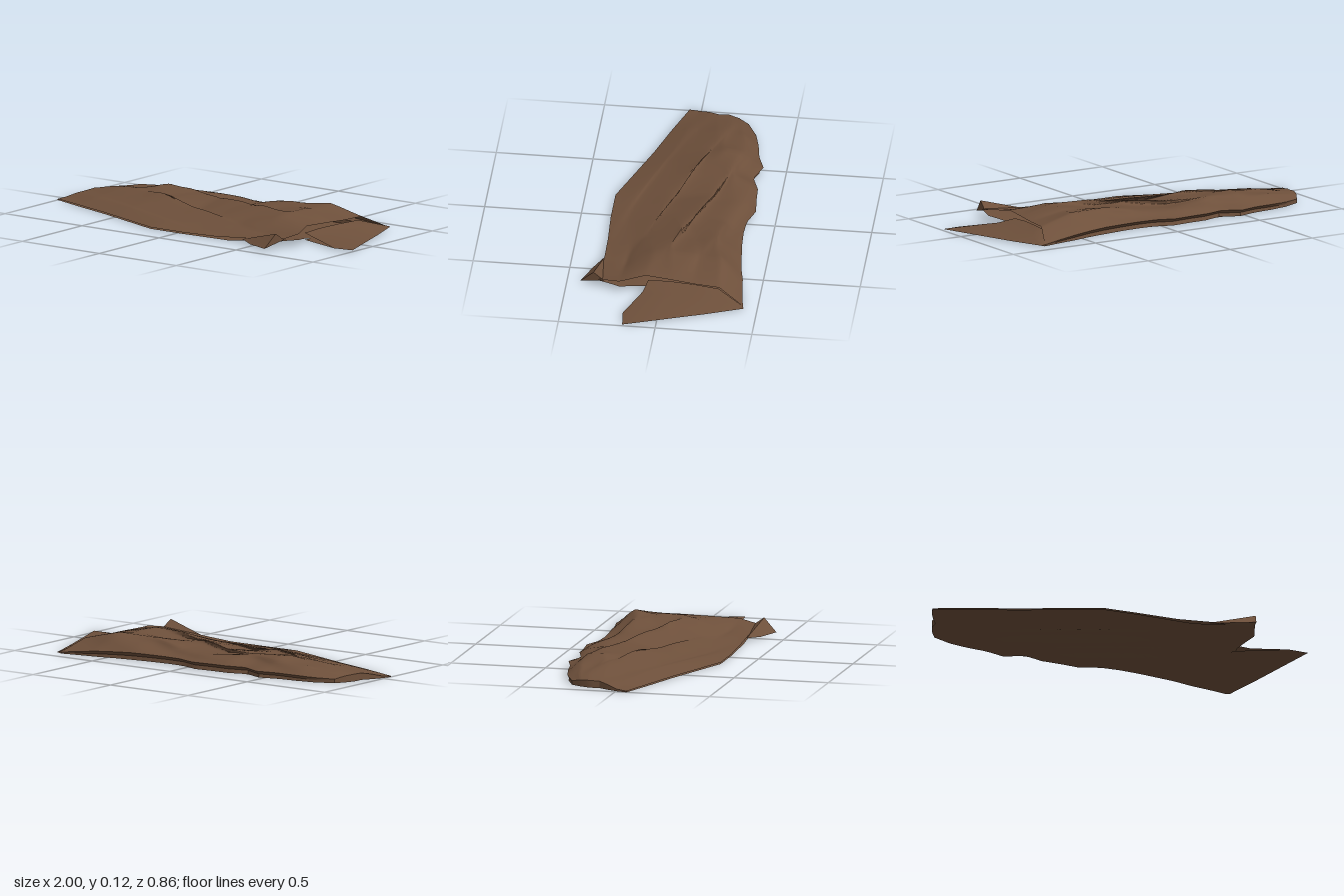
import * as THREE from 'three';
import { toCreasedNormals } from 'three/addons/utils/BufferGeometryUtils.js';

// Sheet from rows of points: point(i, j) gives [x, y, z]
function sheet(cols, rows, point, crease) {
  const pos = [], index = [];
  for (let i = 0; i <= cols; i++) for (let j = 0; j <= rows; j++) pos.push(...point(i, j));
  for (let i = 0; i < cols; i++) for (let j = 0; j < rows; j++) {
    const a = i * (rows + 1) + j, b = a + rows + 1;
    index.push(a, b, b + 1, a, b + 1, a + 1);
  }
  const g = new THREE.BufferGeometry();
  g.setAttribute('position', new THREE.Float32BufferAttribute(pos, 3));
  g.setIndex(index);
  return toCreasedNormals(g, crease);
}

// Linear lookup in an evenly spaced list, t from 0 to 1
function look(list, t) {
  const k = t * (list.length - 1), i = Math.min(Math.floor(k), list.length - 2);
  return list[i] + (list[i + 1] - list[i]) * (k - i);
}

// Outline of the cloth: side ends run front to back, long edges run left to right
const endLow = [-1, -0.985, -0.96, -0.93, -0.93, -0.91, -0.88];
const endHigh = [0.65, 0.69, 0.64, 0.66, 0.68, 0.70, 0.76];
const frontZ = [0.06, 0.13, 0.195, 0.27, 0.345, 0.345, 0.335, 0.33, 0.35];
const backZ = [-0.26, -0.31, -0.335, -0.35, -0.385, -0.345, -0.38, -0.385, -0.395,
  -0.36, -0.355, -0.36, -0.37, -0.38, -0.40, -0.41, -0.425];

// Crumple heights, one line per station along the length, front to back
const heights = [
  [0.010, 0.015, 0.030, 0.040, 0.042, 0.038, 0.025],
  [0.012, 0.035, 0.050, 0.068, 0.072, 0.075, 0.035],
  [0.012, 0.040, 0.062, 0.078, 0.106, 0.075, 0.040],
  [0.012, 0.038, 0.060, 0.100, 0.080, 0.098, 0.045],
  [0.012, 0.033, 0.055, 0.066, 0.080, 0.074, 0.045],
  [0.012, 0.030, 0.058, 0.080, 0.104, 0.074, 0.045],
  [0.015, 0.033, 0.066, 0.110, 0.092, 0.116, 0.045],
  [0.030, 0.038, 0.096, 0.122, 0.108, 0.124, 0.035],
  [0.045, 0.066, 0.080, 0.078, 0.074, 0.076, 0.012],
];

function outline(u, v) {
  const a = look(endLow, v), b = look(endHigh, v);
  const f = look(frontZ, u), k = look(backZ, u);
  return [a + (b - a) * u, f + (k - f) * v];
}

// Point of the upper layer, with diagonal folds overhanging to the back
function topPoint(u, v) {
  const [x, z] = outline(u, v);
  const y = look(heights.map((h) => look(h, v)), u);
  const p = (z - 0.35 * x - 0.12) * 31.4 + Math.PI / 2;
  const fold = Math.sin(p + 0.4 * Math.sin(3 * x)) * Math.sin(Math.PI * v) * Math.sin(Math.PI * u);
  return [x, y + 0.013 * fold, z - 0.045 * fold];
}

// Point of the lower layer, drawn in under the back edge and lifted at the front corner
function lowPoint(u, v) {
  const [x, z] = outline(u, v);
  const env = Math.sin(Math.PI * v) * Math.sin(Math.PI * u);
  const ripple = 1 + Math.sin((z - 0.35 * x) * 28);
  const lift = 0.037 * Math.max(0, (u - 0.8) / 0.2) * Math.max(0, 1 - (v / 0.4) ** 2);
  return [x, 0.004 + 0.011 * ripple * env + lift, z + 0.03 * v ** 4 * Math.sin(Math.PI * u)];
}

export function createModel() {
  const group = new THREE.Group();
  const brown = new THREE.MeshStandardMaterial({ color: 0x6e503b, side: THREE.DoubleSide });
  brown.name = 'brown cloth';
  const add = (name, geometry) => {
    const mesh = new THREE.Mesh(geometry, brown);
    mesh.name = name;
    group.add(mesh);
  };

  // Two layers of cloth
  add('crumpledTop', sheet(56, 56, (i, j) => topPoint(i / 56, j / 56), 0.9));
  add('underside', sheet(40, 24, (i, j) => lowPoint(i / 40, j / 24), 1));

  // Folded back edge joining the layers
  add('backFold', sheet(32, 2, (i, j) => {
    const u = i / 32, a = topPoint(u, 1), b = lowPoint(u, 1);
    const tuck = j === 1 ? 0.02 * Math.sin(Math.PI * u) : 0;
    return a.map((c, k) => c + (b[k] - c) * j / 2 + (k === 2 ? tuck : 0));
  }, 0.5));

  // Folded left end joining the layers
  add('endFold', sheet(1, 12, (i, j) => (i ? topPoint : lowPoint)(0, j / 12), 0.5));

  // Flat flap spreading out from beneath the raised end
  const flap = [
    [[0.62, 0.040, 0.08], [0.63, 0.048, -0.03], [0.65, 0.052, -0.16], [0.68, 0.055, -0.29], [0.76, 0.012, -0.425]],
    [[0.71, 0.024, 0.10], [0.73, 0.030, -0.02], [0.74, 0.032, -0.16], [0.755, 0.034, -0.30], [0.77, 0.012, -0.428]],
    [[0.89, 0.010, 0.18], [1.00, 0.012, 0.17], [0.93, 0.010, -0.02], [0.85, 0.008, -0.24], [0.78, 0.010, -0.43]],
  ];
  add('endFlap', sheet(2, 4, (i, j) => flap[i][j], 0.8));

  // Floor side of the flap
  const under = [flap[2], flap[0].map(([x, , z]) => [x, 0.004, z])];
  add('flapUnderside', sheet(1, 4, (i, j) => under[i][j], 0.6));

  // Raised corner: crest, outer face and floor side
  const left = [0.41, 0.022, 0.33], crest = [0.65, 0.085, 0.36];
  const tip = [0.63, 0.015, 0.43], mid = [0.50, 0.014, 0.38], pinch = [0.66, 0.046, 0.305];
  const corner = [[left, crest, pinch], [mid, tip, tip]];
  add('raisedCorner', sheet(1, 2, (i, j) => corner[i][j], 0.4));
  const inner = [[left, crest], [left, pinch]];
  add('raisedCornerBack', sheet(1, 1, (i, j) => inner[i][j], 0.4));
  const base = [[mid, tip], [left, pinch]];
  add('raisedCornerBase', sheet(1, 1, (i, j) => base[i][j], 0.4));

  return group;
}
